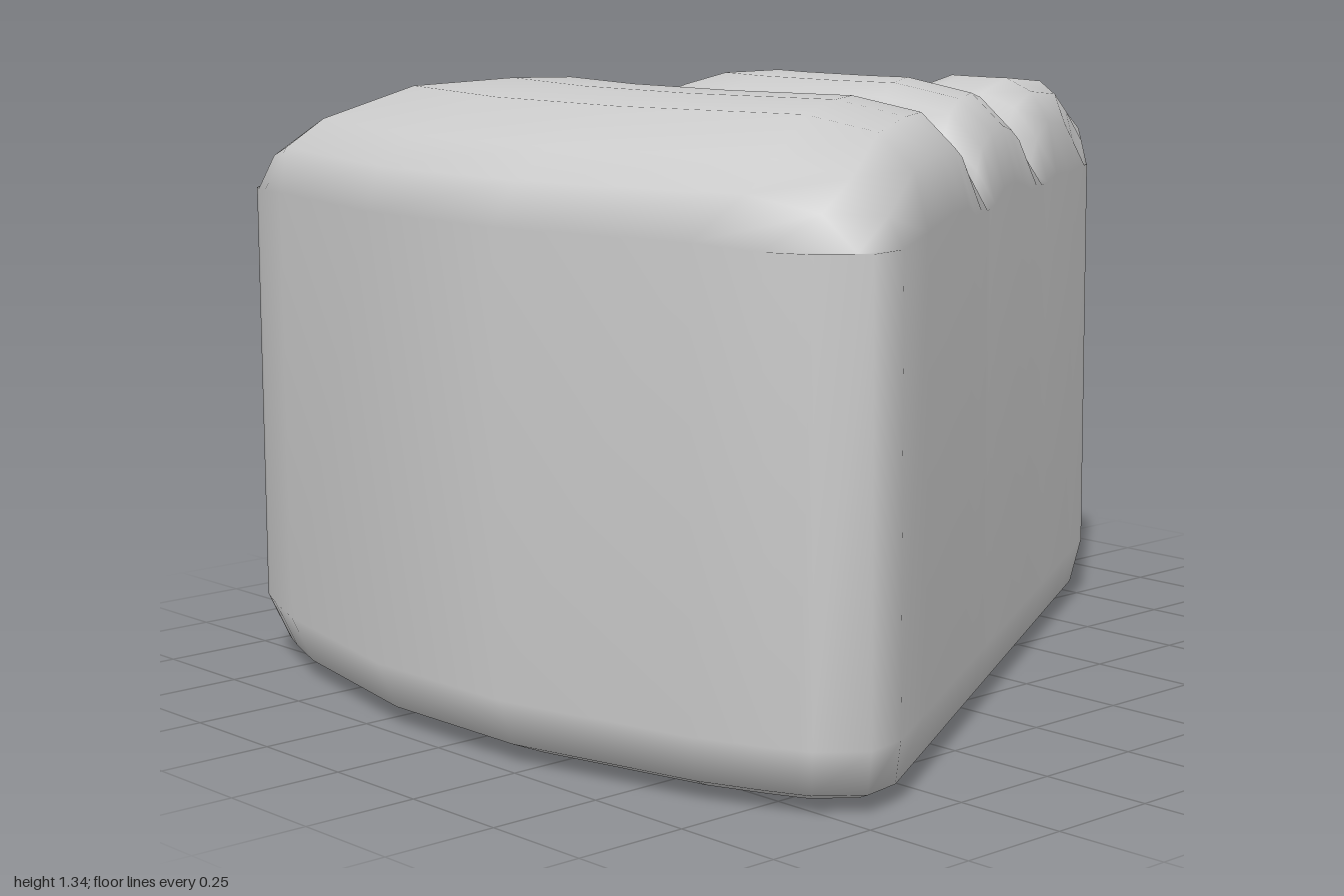
import * as THREE from 'three';

// Crest profile from the tip outwards: [radius, height]
const PROFILE = [
  [0, 1.08], [0.035, 1.17], [0.15, 1.25], [0.23, 1.295], [0.39, 1.31], [0.5, 1.28], [0.565, 1.21],
  [0.62, 1.25], [0.68, 1.29], [0.77, 1.32], [0.86, 1.335], [0.98, 1.33], [1.07, 1.305], [1.12, 1.26], [1.15, 1.2],
  [1.2, 1.26], [1.26, 1.3], [1.33, 1.325], [1.46, 1.325], [1.68, 1.31], [1.88, 1.24], [1.97, 1.18], [2.01, 1.09],
];
// Rounded shoulder along both straight sides: distance in, largest share of the half width, drop
const SHOULDER = [[0, 0, 0.22], [0.03, 0.1, 0.1], [0.1, 0.3, 0.03], [0.25, 0.6, 0], [9, 0.78, 0]];
// Bottom rounding: [height, scale of the outline]
const BASE = [[0.14, 1], [0.04, 0.96], [0, 0.865]];

// Half angle of the wedge, narrowing at the front corners
function halfAngle(r) {
  const deg = r <= 1.88 ? 30.2 : r < 2 ? 29.2 : 26.2;
  return THREE.MathUtils.degToRad(deg);
}

function wedgeGeometry() {
  const pos = [], index = [];
  const columns = [
    ...SHOULDER.map(s => [-1, s]),
    ...SHOULDER.slice().reverse().map(s => [1, s]),
  ];
  const rows = PROFILE.length, cols = columns.length;

  // Top surface: polar grid around the tip
  for (const [r, h] of PROFILE) {
    const a = halfAngle(r), half = Math.max(r * a, 0.001);
    for (const [side, [inset, share, drop]] of columns) {
      const t = side * (1 - Math.min(inset / half, share));
      pos.push(r * Math.sin(a * t) + 0.012 * t, Math.max(1.08, h - drop), r * Math.cos(a * t) - 1);
    }
  }
  for (let i = 0; i < rows - 1; i++) {
    for (let j = 0; j < cols - 1; j++) {
      const a = i * cols + j, b = a + cols;
      index.push(a, b, a + 1, b, b + 1, a + 1);
    }
  }

  // Walls: the rim of the grid carried down to the open bottom
  let rim = [];
  for (let i = 0; i < rows - 1; i++) rim.push(i * cols);
  for (let j = 0; j < cols - 1; j++) rim.push((rows - 1) * cols + j);
  for (let i = rows - 1; i > 0; i--) rim.push(i * cols + cols - 1);
  for (let j = cols - 1; j > 0; j--) rim.push(j);
  for (const [y, scale] of BASE) {
    const first = pos.length / 3;
    const next = rim.map((_, k) => first + k);
    const k0 = BASE.findIndex(b => b[0] === y);
    const prevScale = k0 > 0 ? BASE[k0 - 1][1] : 1;
    for (const v of rim) {
      pos.push(pos[v * 3] * scale / prevScale, y, pos[v * 3 + 2] * scale / prevScale);
    }
    rim.forEach((p, k) => {
      const n = (k + 1) % rim.length;
      index.push(rim[n], p, next[k], rim[n], next[k], next[n]);
    });
    rim = next;
  }

  const geo = new THREE.BufferGeometry();
  geo.setAttribute('position', new THREE.Float32BufferAttribute(pos, 3));
  geo.setIndex(index);
  geo.computeVertexNormals();
  return geo;
}

export function createModel() {
  const group = new THREE.Group();
  group.name = 'wedge';
  const material = new THREE.MeshStandardMaterial({ color: 0xcccccc, side: THREE.DoubleSide });
  const shell = new THREE.Mesh(wedgeGeometry(), material);
  shell.name = 'ridgedWedgeShell';
  group.add(shell);
  return group;
}
